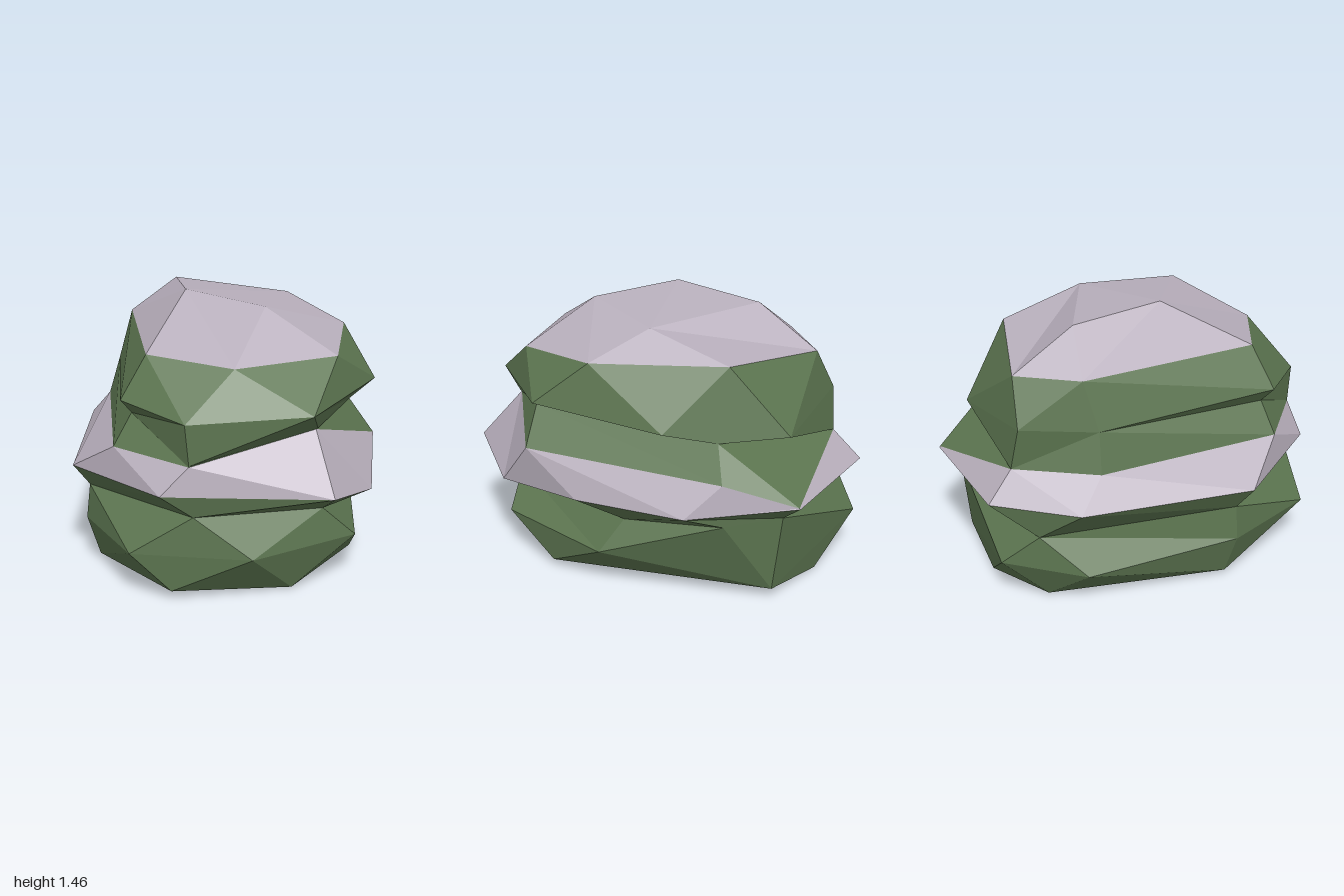
import * as THREE from 'three';

// Corners shared by neighbouring sections where the rock has no step
const heel = [.39, .06, -.83];
const hollow = [-.27, .735, -.85];
const nape = [[-.31, .97, -.82], [-.5, .955, -.45]];

// Cross-sections from the ground up, each running front -> +x -> back -> -x
const base = [[-.36, .05, .84], [.28, .005, .78], [.69, .04, .36], heel, [-.03, 0, -.88], [-.41, .01, -.72], [-.68, .02, .22]];
const belly = [[-.57, .25, .79], [.04, .25, .97], [.64, .24, .68], [.78, .23, 0], heel, [-.35, .24, -.96], [-.64, .2, -.59], [-.75, .25, .25]];
const waist = [[-.25, .46, .87], [.45, .42, .73], [.68, .41, -.1], [.6, .47, -.65], [.38, .49, -.88], [-.47, .41, -.79], [-.73, .44, .25]];
const lip = [[-.42, .58, .87], [.45, .565, 1], [.73, .48, .65], [.81, .52, .12], [.75, .54, -.5], [.41, .58, -.99], [-.31, .58, -1], [-.65, .58, -.63], [-.82, .57, .3]];
const ledge = [[-.27, .73, .87], [.4, .86, .75], [.78, .73, .45], [.62, .715, -.65], [.41, .585, -.985], hollow, [-.56, .74, -.47], [-.62, .75, .55]];
const neck = [[-.27, .735, .87], [.41, .865, .75], [.64, .93, .47], [.52, .89, -.57], hollow, ...nape, [-.52, .92, .52]];
const rim = [[-.29, .95, .87], [.36, .97, .89], [.8, 1.01, .38], [.69, .95, -.34], [.28, .9, -.86], ...nape, [-.58, 1, .56]];
const shoulder = [[-.02, 1.19, .74], [.54, 1.2, .6], [.69, 1.25, .1], [.41, 1.27, -.57], [-.17, 1.21, -.78], [-.42, 1.22, -.5], [-.44, 1.22, .5]];
const crown = [[.2, 1.42, .38], [.41, 1.39, -.1], [-.17, 1.42, -.43], [-.18, 1.46, .08]];

// Angle around the vertical axis, starting just left of the front
const turn = Math.PI * 2;
const angle = (p) => (Math.atan2(p[0], p[2]) + 0.7 + turn) % turn;

// Triangles joining two rings that may differ in number of points
function stitch(low, high) {
  const out = [];
  let i = 0, j = 0;
  const at = (ring, k) => ring[k % ring.length];
  const ahead = (ring, k) => (k >= ring.length ? Infinity
    : k + 1 === ring.length ? turn + angle(ring[0]) : angle(ring[k + 1]));
  const push = (a, b, c) => {
    if (a !== b && b !== c && c !== a) out.push(a, b, c); // skip shared corners
  };
  while (i < low.length || j < high.length) {
    if (ahead(low, i) <= ahead(high, j)) {
      push(at(low, i), at(low, i + 1), at(high, j));
      i++;
    } else {
      push(at(low, i), at(high, j + 1), at(high, j));
      j++;
    }
  }
  return out;
}

// Flat lid over a ring
function fan(ring, down) {
  const out = [];
  for (let k = 1; k < ring.length - 1; k++) {
    out.push(ring[0], ...(down ? [ring[k + 1], ring[k]] : [ring[k], ring[k + 1]]));
  }
  return out;
}

export function createModel() {
  const moss = new THREE.MeshStandardMaterial({ color: 0x5c7550 });
  moss.name = 'mossGreen';
  const stone = new THREE.MeshStandardMaterial({ color: 0xb8afbc });
  stone.name = 'paleStone';

  const model = new THREE.Group();
  model.name = 'layeredRock';

  function add(name, material, points) {
    const geometry = new THREE.BufferGeometry();
    geometry.setAttribute('position', new THREE.Float32BufferAttribute(points.flat(), 3));
    geometry.computeVertexNormals(); // unshared corners keep every facet flat
    const mesh = new THREE.Mesh(geometry, material);
    mesh.name = name;
    model.add(mesh);
  }

  // Lower boulder and the underside of the ledge
  add('lowerBoulder', moss, [...fan(base, true), ...stitch(base, belly), ...stitch(belly, waist)]);
  add('ledgeUnderside', moss, stitch(waist, lip));
  // Pale band sticking out around the middle
  add('paleBand', stone, stitch(lip, ledge));
  // Recess, overhang and sides of the upper boulder
  add('recess', moss, stitch(ledge, neck));
  add('overhang', moss, stitch(neck, rim));
  add('upperBoulder', moss, stitch(rim, shoulder));
  // Pale cap, its lid fanned from the highest point
  add('paleCap', stone, [...stitch(shoulder, crown), ...fan([crown[3], crown[0], crown[1], crown[2]])]);

  return model;
}
